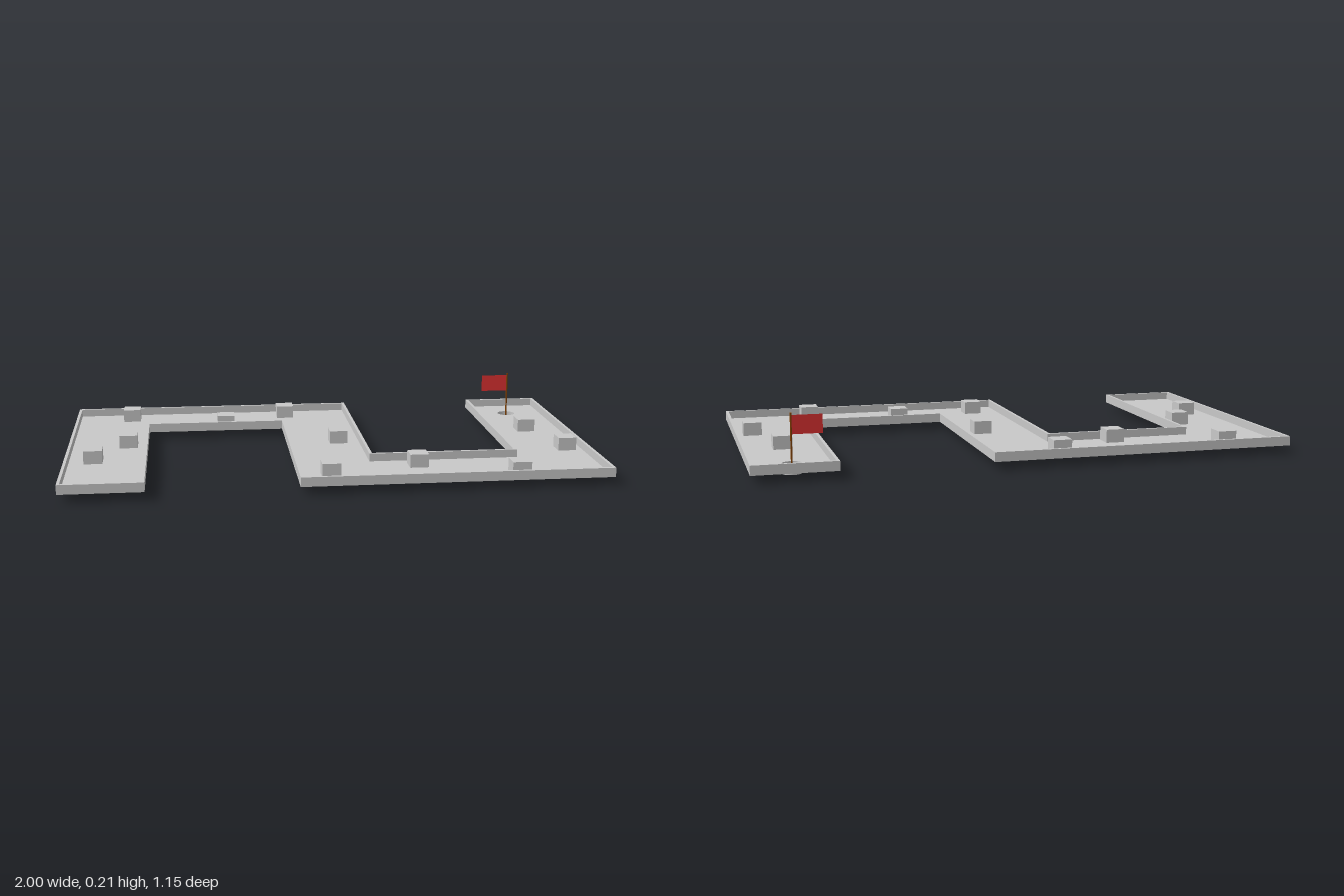
import * as THREE from 'three';

const FLOOR_Y = 0.03, FLOOR_TOP = 0.035, RIM_TOP = 0.065, RIM = 0.011;
const CUP = { x: 0.843, z: -0.424, r: 0.036 };

// Course outline as [x, z] corners, all edges axis aligned
const outline = [
  [-1, 0.574], [-1, -0.574], [0.149, -0.574], [0.149, 0.274], [0.696, 0.274], [0.696, -0.574],
  [1, -0.574], [1, 0.574], [-0.149, 0.574], [-0.149, -0.274], [-0.696, -0.274], [-0.696, 0.574],
];

// Moves each corner inward by d along the normals of its two edges
function inset(points, d) {
  const n = points.length;
  return points.map(([x, z], i) => {
    const a = points[(i + n - 1) % n], b = points[(i + 1) % n];
    const sum = [[x - a[0], z - a[1]], [b[0] - x, b[1] - z]]
      .reduce((s, [ex, ez]) => [s[0] - Math.sign(ez), s[1] + Math.sign(ex)], [0, 0]);
    return [x + sum[0] * d, z + sum[1] * d];
  });
}

// Ground plan to shape points, ordered counter-clockwise
const toVectors = (points) => points.map(([x, z]) => new THREE.Vector2(x, -z)).reverse();

// Extrudes a ground-plan shape upward from y0 to y1
function slab(shape, y0, y1) {
  return new THREE.ExtrudeGeometry(shape, { depth: y1 - y0, bevelEnabled: false, curveSegments: 16 })
    .rotateX(-Math.PI / 2).translate(0, y0, 0);
}

export function createModel() {
  const model = new THREE.Group();
  model.name = 'miniGolfCourse';

  const grey = new THREE.MeshStandardMaterial({ name: 'concreteGrey', color: 0xc8c8c8, side: THREE.DoubleSide });
  const brown = new THREE.MeshStandardMaterial({ name: 'poleBrown', color: 0x804000 });
  const red = new THREE.MeshStandardMaterial({ name: 'flagRed', color: 0xe03232, side: THREE.DoubleSide });

  const add = (name, geometry, material, x = 0, y = 0, z = 0, parent = model) => {
    const mesh = new THREE.Mesh(geometry, material);
    mesh.name = name;
    mesh.position.set(x, y, z);
    parent.add(mesh);
    return mesh;
  };

  // Floor with the round hole
  const floorShape = new THREE.Shape(toVectors(outline));
  floorShape.holes.push(new THREE.Path().absarc(CUP.x, -CUP.z, CUP.r, 0, Math.PI * 2, true));
  add('floor', slab(floorShape, FLOOR_Y, FLOOR_TOP), grey);

  // Raised rim all the way round
  const rimShape = new THREE.Shape(toVectors(outline));
  rimShape.holes.push(new THREE.Path(toVectors(inset(outline, RIM))));
  add('rim', slab(rimShape, FLOOR_TOP, RIM_TOP), grey);

  // Open cup under the hole
  const cup = new THREE.Group();
  cup.name = 'cup';
  cup.position.set(CUP.x, 0, CUP.z);
  model.add(cup);
  add('cupWall', new THREE.CylinderGeometry(CUP.r, CUP.r, FLOOR_Y, 32, 1, true), grey, 0, FLOOR_Y / 2, 0, cup);
  add('cupBase', new THREE.CylinderGeometry(CUP.r, CUP.r, 0.003, 32), grey, 0, 0.0015, 0, cup);

  // Block obstacles
  const obstacles = new THREE.Group();
  obstacles.name = 'obstacles';
  model.add(obstacles);
  const blockGeometry = new THREE.BoxGeometry(0.07, 0.05, 0.07);
  [
    [-0.897, 0.174], [-0.772, -0.043], [-0.772, -0.48], [-0.38, -0.333], [-0.122, -0.48], [0.055, -0.026],
    [-0.027, 0.445], [0.311, 0.354], [0.663, 0.497], [0.845, -0.133], [0.927, 0.177],
  ].forEach(([x, z]) => add('block', blockGeometry, grey, x, FLOOR_TOP + 0.025, z, obstacles));

  // Flag standing in the cup
  const flag = new THREE.Group();
  flag.name = 'flag';
  flag.position.set(CUP.x, 0, CUP.z);
  model.add(flag);
  add('pole', new THREE.CylinderGeometry(0.0032, 0.0032, 0.21, 12), brown, 0, 0.108, 0, flag);
  add('flagCloth', new THREE.PlaneGeometry(0.108, 0.068), red, -0.057, 0.171, 0, flag);

  return model;
}
